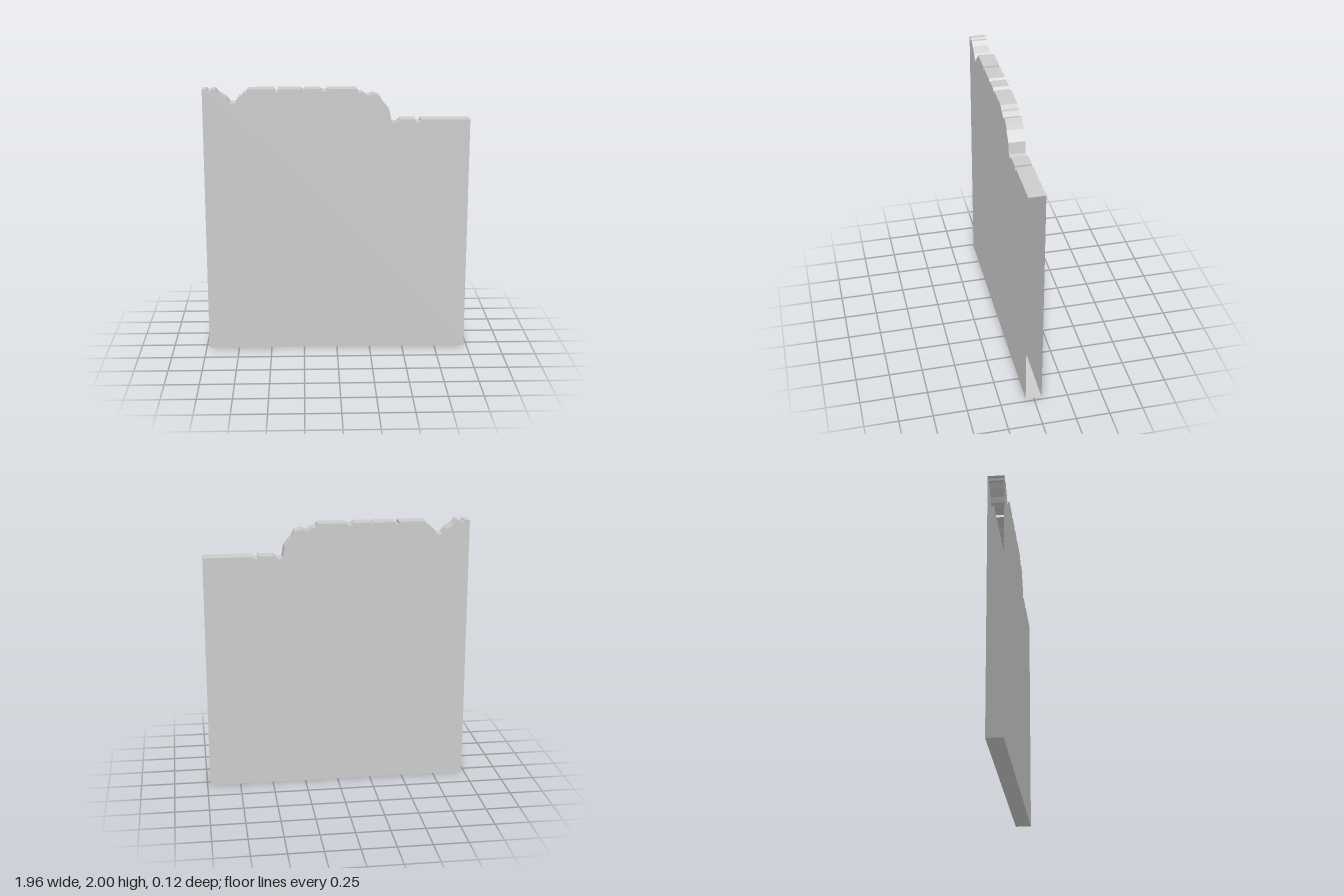
import * as THREE from 'three';

const HALF_WIDTH = 0.978, HALF_DEPTH = 0.06;

// Chipped top edge, from -x to +x
const TOP_EDGE = [
  [-HALF_WIDTH, 2], [-0.945, 2], [-0.937, 1.987], [-0.917, 1.987], [-0.907, 2], [-0.885, 2],
  [-0.86, 1.97], [-0.805, 1.935], [-0.78, 1.9], [-0.738, 1.9], [-0.71, 1.945], [-0.69, 1.95],
  [-0.678, 1.972], [-0.66, 1.975], [-0.645, 2],
  [-0.455, 2], [-0.455, 1.98], [-0.43, 1.98], [-0.43, 2],
  [-0.262, 2], [-0.245, 1.983], [-0.225, 2],
  [-0.125, 2], [-0.11, 1.983], [-0.077, 1.983], [-0.062, 2],
  [0.14, 2], [0.155, 1.975], [0.185, 1.97], [0.218, 1.945], [0.265, 1.963], [0.31, 1.945],
  [0.33, 1.905], [0.385, 1.838], [0.4, 1.755], [0.435, 1.745], [0.468, 1.772],
  [0.577, 1.772], [0.577, 1.755], [0.613, 1.755], [0.613, 1.772], [HALF_WIDTH, 1.772],
];

export function createModel() {
  const group = new THREE.Group();
  group.name = 'brokenWall';
  const material = new THREE.MeshStandardMaterial({
    color: 0xcccccc, flatShading: true, side: THREE.DoubleSide,
  });
  const add = (name, geometry) => {
    const mesh = new THREE.Mesh(geometry, material);
    mesh.name = name;
    group.add(mesh);
    return mesh;
  };

  // Front and back faces share one outline
  const outline = new THREE.Shape([
    [HALF_WIDTH, 0], ...[...TOP_EDGE].reverse(), [-HALF_WIDTH, 0],
  ].map(([x, y]) => new THREE.Vector2(x, y)));
  add('frontFace', new THREE.ShapeGeometry(outline)).position.z = HALF_DEPTH;

  const back = new THREE.ShapeGeometry(outline);
  const index = back.index.array;
  for (let i = 0; i < index.length; i += 3) {
    [index[i], index[i + 1]] = [index[i + 1], index[i]];
  }
  back.computeVertexNormals();
  add('backFace', back).position.z = -HALF_DEPTH;

  // Strip across the wall's thickness, following the chipped edge
  const strip = new THREE.PlaneGeometry(1, 1, TOP_EDGE.length - 1, 1);
  const pos = strip.attributes.position;
  for (let i = 0; i < pos.count; i++) {
    const [x, y] = TOP_EDGE[i % TOP_EDGE.length];
    pos.setXYZ(i, x, y, i < TOP_EDGE.length ? -HALF_DEPTH : HALF_DEPTH);
  }
  const top = strip.toNonIndexed();
  top.computeVertexNormals();
  add('chippedTop', top);

  // Underside; both ends of the wall stay open
  const bottom = new THREE.PlaneGeometry(2 * HALF_WIDTH, 2 * HALF_DEPTH);
  add('underside', bottom.rotateX(Math.PI / 2));

  return group;
}
